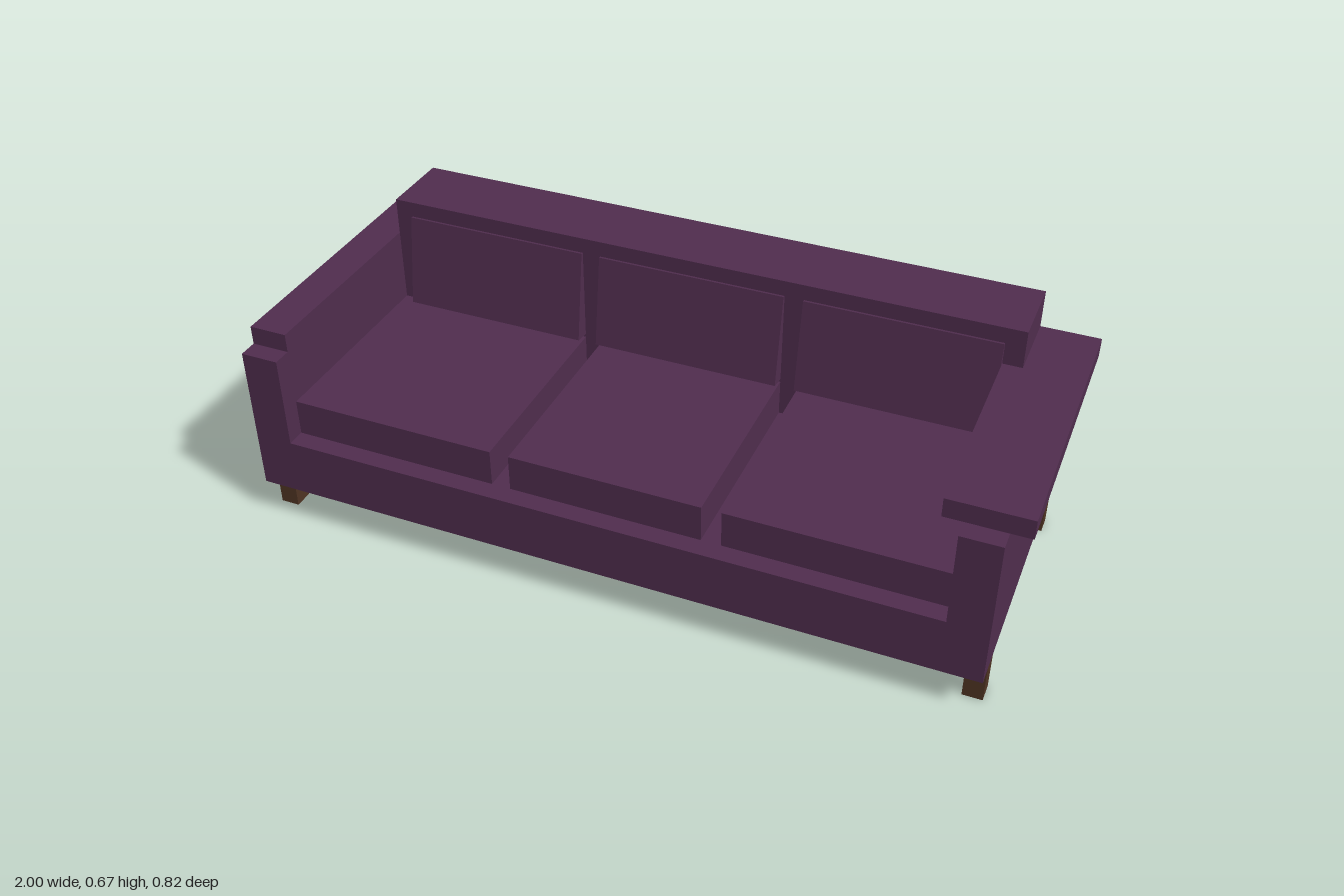
import * as THREE from 'three';

export function createModel() {
  const sofa = new THREE.Group();
  sofa.name = 'sofa';
  const fabric = new THREE.MeshStandardMaterial({ color: 0x502d4e });
  fabric.name = 'plumFabric';
  const wood = new THREE.MeshStandardMaterial({ color: 0x4f3423 });
  wood.name = 'darkWood';

  // Box given by its limits on each axis
  function box(name, material, [x0, x1], [y0, y1], [z0, z1]) {
    const mesh = new THREE.Mesh(new THREE.BoxGeometry(x1 - x0, y1 - y0, z1 - z0), material);
    mesh.position.set((x0 + x1) / 2, (y0 + y1) / 2, (z0 + z1) / 2);
    mesh.name = name;
    sofa.add(mesh);
    return mesh;
  }

  const left = 0.845, right = -0.898; // inner faces of the arms
  const depth = [-0.409, 0.411];

  // Frame: seat base, backrest, arms
  box('seatBase', fabric, [right, left], [0.105, 0.26], [-0.205, 0.411]);
  box('backrest', fabric, [right, left], [0.105, 0.668], [-0.409, -0.205]);
  box('rightArm', fabric, [-1, right], [0.105, 0.514], depth);
  box('leftArm', fabric, [left, 0.947], [0.105, 0.514], depth);

  // Arm caps: the left one overhangs its arm on both sides
  box('rightArmCap', fabric, [-1, right], [0.514, 0.565], [-0.409, 0.36]);
  box('leftArmCap', fabric, [left, 1], [0.514, 0.565], [-0.409, 0.36]);
  box('leftArmCapLip', fabric, [0.794, left], [0.514, 0.565], [-0.205, 0.36]);

  // Seat cushions
  const seats = [[right, -0.335], [-0.284, 0.229], [0.281, left]];
  for (const span of seats) box('seatCushion', fabric, span, [0.26, 0.36], [-0.205, 0.36]);

  // Back cushions: slabs leaning into the backrest
  const tilt = 0.15, height = 0.253, thick = 0.1;
  for (const [x0, x1] of [[-0.85, -0.335], [-0.284, 0.229], [0.281, 0.794]]) {
    const geometry = new THREE.BoxGeometry(x1 - x0, height, thick);
    geometry.translate(0, height / 2, -thick / 2);
    const cushion = new THREE.Mesh(geometry, fabric);
    cushion.name = 'backCushion';
    cushion.position.set((x0 + x1) / 2, 0.376, -0.159);
    cushion.rotation.x = -tilt;
    sofa.add(cushion);
  }

  // Legs
  for (const x of [[-1, -0.949], [0.896, 0.947]]) {
    for (const z of [[0.309, 0.36], [-0.358, -0.307]]) box('leg', wood, x, [0, 0.105], z);
  }
  return sofa;
}
